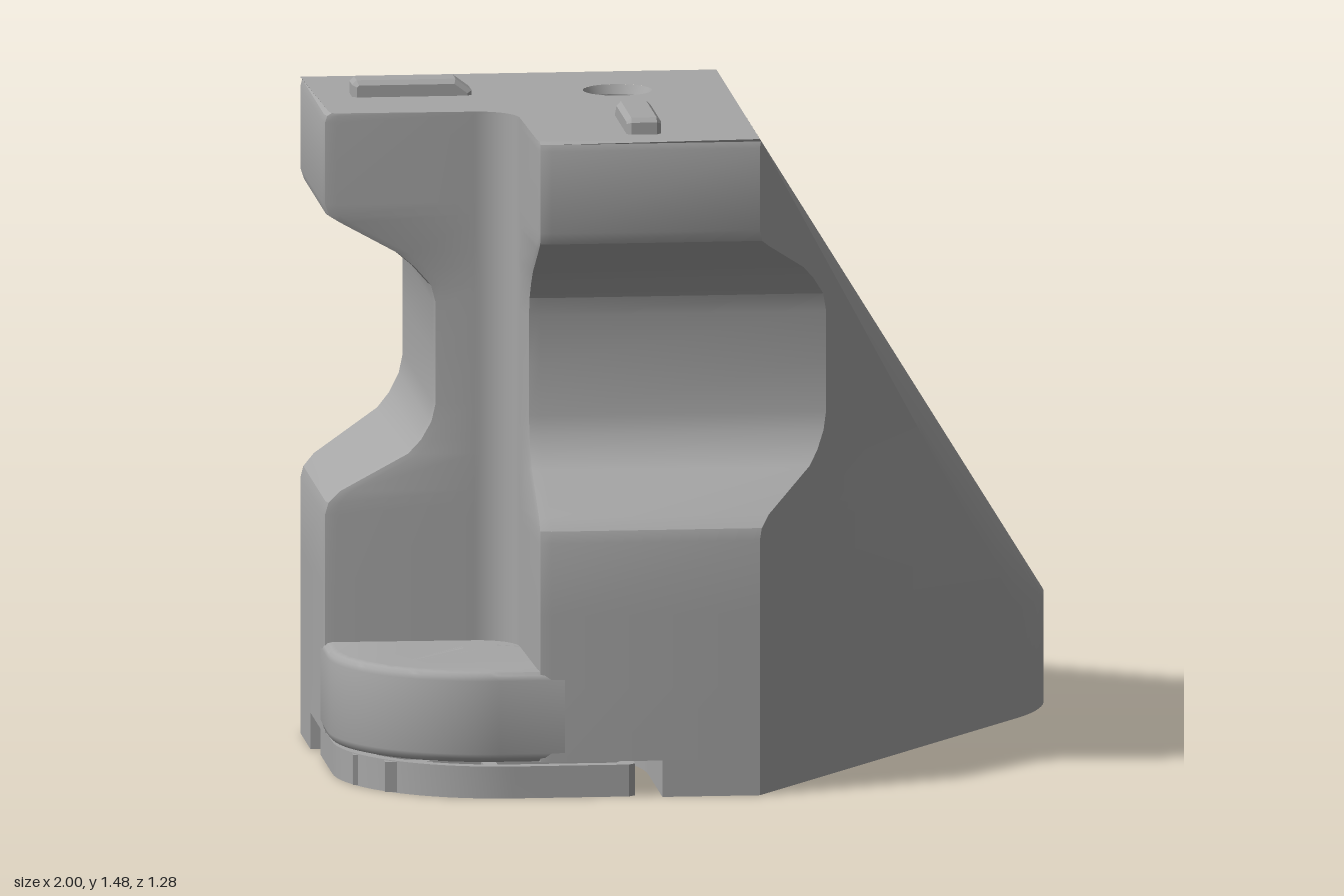
import * as THREE from 'three';
import { toCreasedNormals } from 'three/addons/utils/BufferGeometryUtils.js';

const RAD = Math.PI / 180;
const lerp = THREE.MathUtils.lerp;

// points of an arc centred on the x axis, as [x, z]
const arc = (cx, r, a0, a1, n) => Array.from({ length: n + 1 }, (_, i) => {
  const a = lerp(a0, a1, i / n) * RAD;
  return [cx + r * Math.cos(a), r * Math.sin(a)];
});

// closes a +z half outline (both ends on z = 0) with its mirror image
const mirror = half => half.concat(half.slice(1, -1).reverse().map(([x, z]) => [x, -z]));

const toShape = (pts, holes = []) => {
  const shape = new THREE.Shape(pts.map(([x, z]) => new THREE.Vector2(x, z)));
  for (const [x, r] of holes) shape.holes.push(new THREE.Path().absarc(x, 0, r, 0, Math.PI * 2, true));
  return shape;
};

// upright slab between two heights
function slab(shape, y0, y1, bevel = 0) {
  const g = new THREE.ExtrudeGeometry(shape, {
    depth: y1 - y0 - 2 * bevel, bevelEnabled: bevel > 0, bevelSize: bevel, bevelOffset: -bevel,
    bevelThickness: bevel, bevelSegments: 3, curveSegments: 32,
  });
  g.rotateX(-Math.PI / 2).translate(0, y0 + bevel, 0);
  return toCreasedNormals(g, 0.6);
}

// rounded nose: a round base outline ruled up to the two straight top edges
const NOSE = 20;
const nose = y => {
  const t = Math.max(0, (y - 0.24) / 1.2);
  return arc(0.55, 0.45, 80.1, 0, NOSE).map(([x, z], i) => {
    const k = i / NOSE;
    return [lerp(x, lerp(-0.5, 0.14, k), t), lerp(z, lerp(0.64, 0, k), t)];
  });
};

// outline of the body at one height; s is how far the grip recess is cut in
function section(y, s) {
  const front = nose(y);
  const sx = Math.min((-0.587 + s) / 1.174, front[0][0]);
  const px = -0.84 + s / 2, pz = 0.3 - s / 2;
  return mirror([
    ...arc(-0.55 - 0.09 * Math.SQRT2, 0.09, 0, 45, 5),
    [px + 0.02, pz - 0.02], [px + 0.006, pz], [px + 0.02, pz + 0.02],
    [sx, 0.553 - 0.174 * sx], ...front,
  ]);
}

function loft(levels) {
  const rings = levels.map(([y, s]) => section(y, s).map(([x, z]) => [x, y, z]));
  const pos = [];
  for (let j = 0; j < rings.length - 1; j++) {
    const lo = rings[j], hi = rings[j + 1], n = lo.length;
    for (let i = 0; i < n; i++) {
      const k = (i + 1) % n;
      pos.push(...lo[i], ...lo[k], ...hi[k], ...lo[i], ...hi[k], ...hi[i]);
    }
  }
  const g = new THREE.BufferGeometry();
  g.setAttribute('position', new THREE.Float32BufferAttribute(pos, 3));
  return toCreasedNormals(g, 0.42);
}

export function createModel() {
  const model = new THREE.Group();
  model.name = 'cornerBracket';
  const grey = new THREE.MeshStandardMaterial({ color: 0xa6a6a6 });
  grey.name = 'grey';
  const greyInside = new THREE.MeshStandardMaterial({ color: 0xa6a6a6, side: THREE.BackSide });
  greyInside.name = 'greyInside';
  const add = (name, geometry, material = grey, parent = model) => {
    const mesh = new THREE.Mesh(geometry, material);
    mesh.name = name;
    parent.add(mesh);
    return mesh;
  };

  // body walls: height and recess depth
  const levels = [
    [0.08, 0], [0.24, 0], [0.4, 0], [0.56, 0], [0.585, 0.01], [0.61, 0.045], [0.69, 0.255],
    [0.72, 0.295], [0.76, 0.327], [0.8, 0.34], [0.91, 0.34], [1.02, 0.34], [1.06, 0.325],
    [1.1, 0.275], [1.13, 0.225], [1.2, 0.045], [1.215, 0.012], [1.24, 0], [1.42, 0],
    [1.434, 0.006], [1.44, 0.02],
  ];
  add('body', loft(levels));
  add('bodyTop', new THREE.ShapeGeometry(toShape(section(1.44, 0.02), [[-0.2, 0.075]]), 32)
    .rotateX(-Math.PI / 2).translate(0, 1.44, 0));
  const boltHoles = [[-0.2, 0.105], [0.5, 0.087]];
  add('bodyUnderside', new THREE.ShapeGeometry(toShape(section(0.08, 0), boltHoles), 32)
    .rotateX(Math.PI / 2).translate(0, 0.08, 0));

  // base slab, cut away around the foot pad
  const baseHalf = [...arc(-0.16 - 0.4 * Math.SQRT2, 0.4, 0, 45, 10), [-0.65, 0.49], [-0.62, 0.52], [-0.5, 0.64], ...nose(0)];
  add('base', slab(toShape(mirror(baseHalf), boltHoles), 0, 0.08));

  // through hole with a wider lower end, and a blind hole
  const bore = (r0, r1, y0, y1, x) => new THREE.CylinderGeometry(r1, r0, y1 - y0, 32, 1, true)
    .translate(x, (y0 + y1) / 2, 0);
  add('throughHoleTopChamfer', bore(0.065, 0.075, 1.42, 1.44, -0.2), greyInside);
  add('throughHole', bore(0.065, 0.065, 0.4, 1.42, -0.2), greyInside);
  add('throughHoleShoulder', bore(0.105, 0.065, 0.38, 0.4, -0.2), greyInside);
  add('throughHoleCounterbore', bore(0.105, 0.105, 0.08, 0.38, -0.2), greyInside);
  add('blindHole', bore(0.087, 0.087, 0.08, 0.4, 0.5), greyInside);
  add('blindHoleEnd', new THREE.CircleGeometry(0.087, 32).rotateX(Math.PI / 2).translate(0.5, 0.4, 0));

  // rounded shelf in the rear corner
  const shelfHalf = [...arc(-0.66, 0.34, 180, 135, 14), [-0.8, 0.34], [-0.5, 0.34], [-0.46, 0]];
  add('shelf', slab(toShape(mirror(shelfHalf), [[-0.67, 0.06]]), 0.08, 0.28, 0.02));

  // foot pad: frame, slats, cross bar and ring
  const pad = new THREE.Group();
  pad.name = 'footPad';
  model.add(pad);
  const padOutline = mirror([
    ...arc(-1.12 + 0.36 * Math.SQRT2, 0.36, 180, 135, 12), [-0.69, 0.43], [-0.67, 0.43],
    ...arc(-0.24 - 0.3 * Math.SQRT2, 0.3, 45, 0, 12),
  ]);
  const frame = toShape(padOutline);
  frame.holes.push(new THREE.Path(padOutline.map(([x, z]) =>
    new THREE.Vector2(-0.68 + (x + 0.68) * 0.91, z * 0.91)).reverse()));
  add('padFrame', slab(frame, 0, 0.07), grey, pad);

  const slats = new THREE.Group();
  slats.name = 'padSlats';
  slats.position.set(-0.68, 0.035, 0);
  slats.rotation.y = -Math.PI / 4;
  pad.add(slats);
  const h = 0.3;
  for (let i = -2; i <= 2; i++) {
    const v = i * 0.1;
    const round = Math.sqrt(h * h - v * v);
    const u0 = v > 0 ? -h : -round, u1 = v >= 0 ? round : h;
    add('slat', new THREE.BoxGeometry(u1 - u0, 0.066, 0.026).translate((u0 + u1) / 2, 0, -v), grey, slats);
  }
  add('crossBar', new THREE.BoxGeometry(0.03, 0.066, 2 * h), grey, slats);
  const ring = new THREE.Shape().absarc(-0.68, 0, 0.13, 0, Math.PI * 2);
  ring.holes.push(new THREE.Path().absarc(-0.68, 0, 0.1, 0, Math.PI * 2, true));
  add('padRing', slab(ring, 0, 0.07), grey, pad);

  // two locating ribs on the top, sloped at the inner end
  const rib = new THREE.Shape([[-0.13, -0.01], [0.13, -0.01], [0.13, 0.01], [0.095, 0.036], [-0.12, 0.036], [-0.13, 0.026]]
    .map(p => new THREE.Vector2(...p)));
  for (const side of [1, -1]) {
    const g = new THREE.ExtrudeGeometry(rib, {
      depth: 0.055, bevelEnabled: true, bevelSize: 0.01, bevelOffset: -0.01, bevelThickness: 0.01, bevelSegments: 1,
    }).translate(0, 0, -0.0275);
    const mesh = add(side > 0 ? 'leftRib' : 'rightRib', g);
    mesh.position.set(-0.52, 1.44, side * 0.317);
    mesh.rotation.y = side * Math.PI / 4;
  }
  return model;
}
